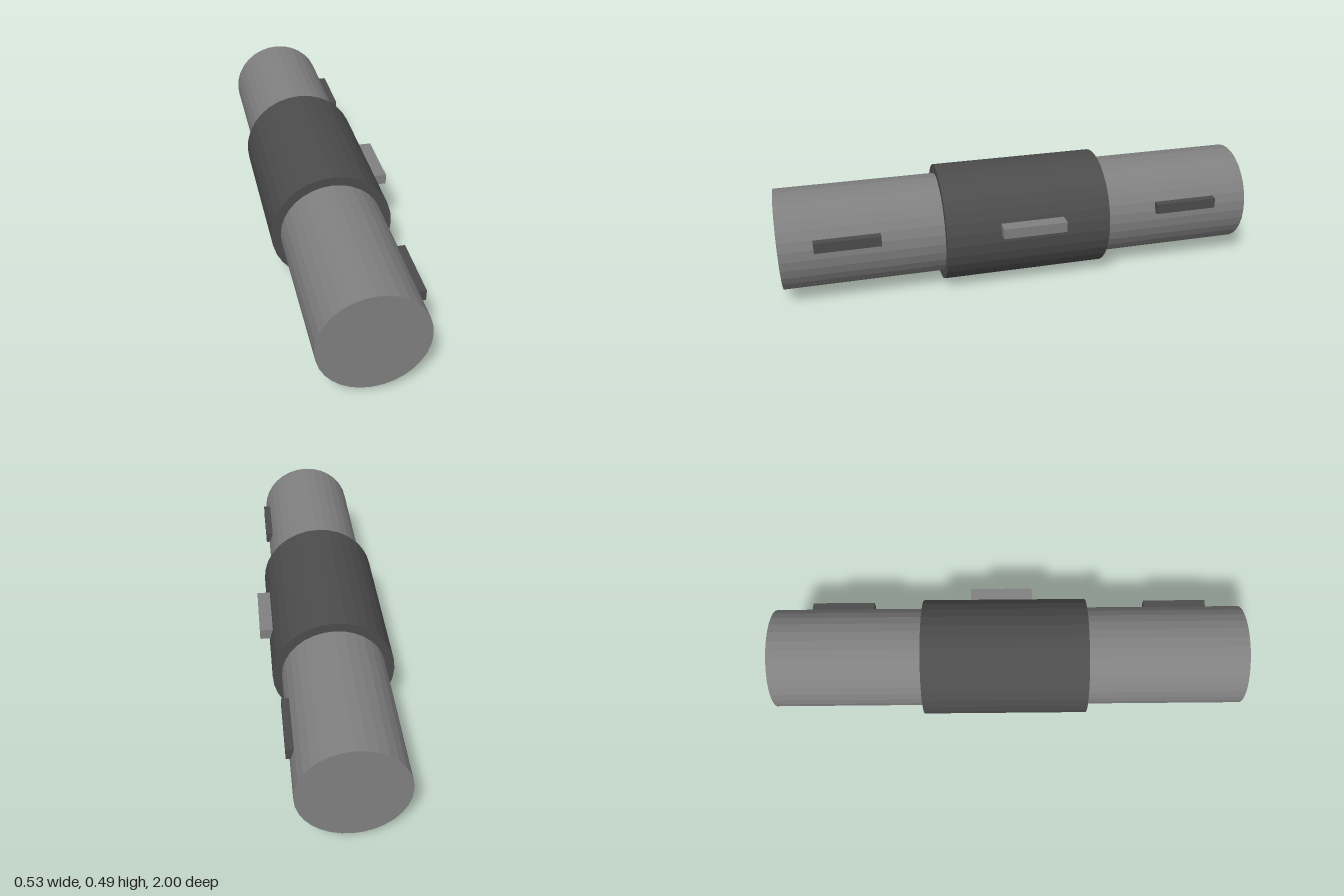
import * as THREE from 'three';

const AXIS_X = -0.02, AXIS_Y = 0.248;

export function createModel() {
  const model = new THREE.Group();
  const grey = new THREE.MeshStandardMaterial({ color: 0x808080, flatShading: true });
  const dark = new THREE.MeshStandardMaterial({ color: 0x4c4c4c, flatShading: true });

  // Faceted drum lying along z
  function drum(name, radius, length, z, material) {
    const geometry = new THREE.CylinderGeometry(radius, radius, length, 32).rotateX(Math.PI / 2);
    const mesh = new THREE.Mesh(geometry, material);
    mesh.name = name;
    mesh.position.set(AXIS_X, AXIS_Y, z);
    model.add(mesh);
  }

  // Small bar set into the +x side, given by its inner and outer x
  function bar(name, xIn, xOut, z, material) {
    const mesh = new THREE.Mesh(new THREE.BoxGeometry(xOut - xIn, 0.044, 0.267), material);
    mesh.name = name;
    mesh.position.set((xIn + xOut) / 2, 0.304, z);
    model.add(mesh);
  }

  drum('shaft', 0.21, 2, 0, grey);
  drum('sleeve', 0.247, 0.695, -0.014, dark);

  bar('sleeveBar', 0.205, 0.267, -0.027, grey);
  bar('frontShaftBar', 0.165, 0.205, 0.727, dark);
  bar('backShaftBar', 0.165, 0.205, -0.714, dark);

  return model;
}
